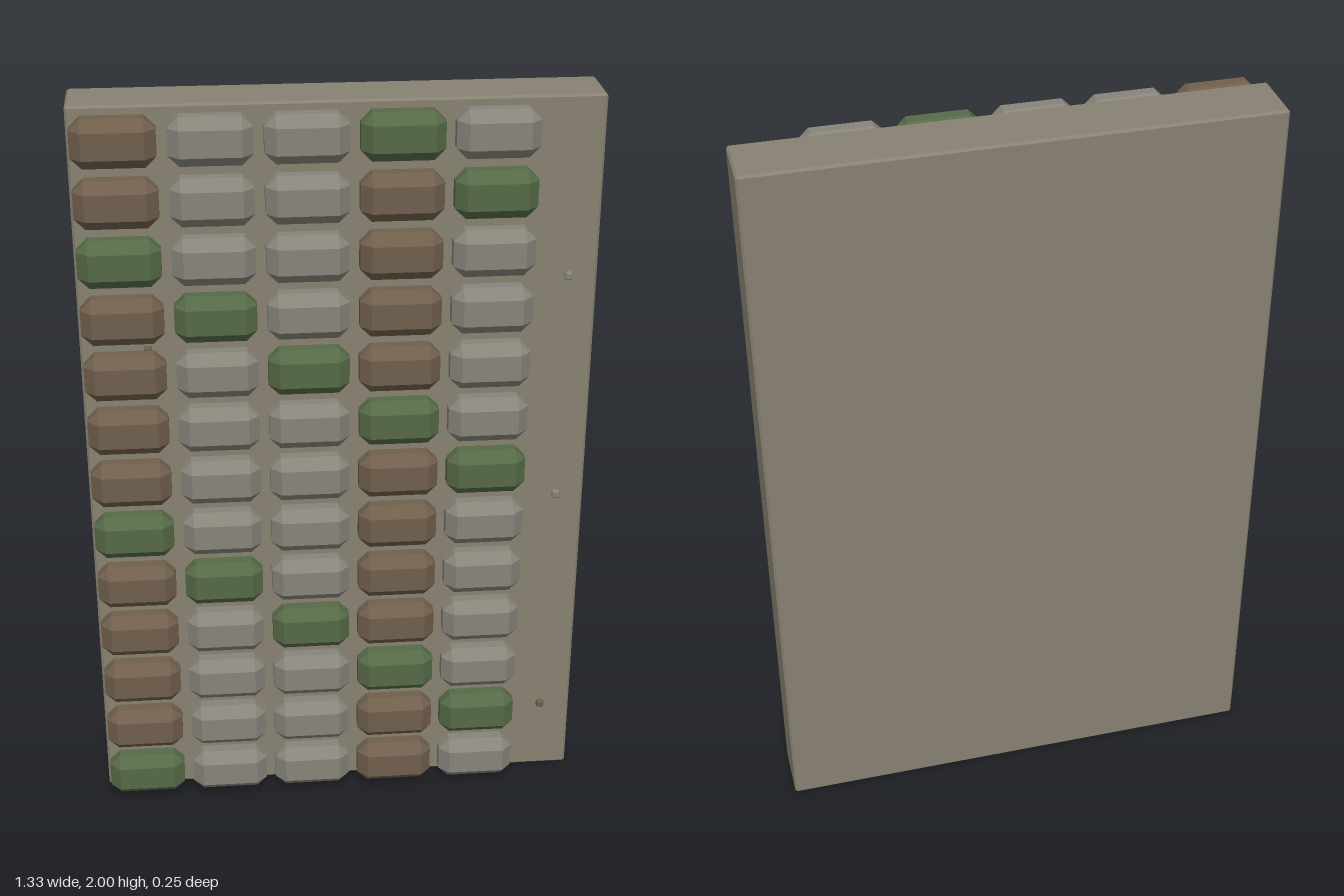
import * as THREE from 'three';
import { ConvexGeometry } from 'three/addons/geometries/ConvexGeometry.js';

const flat = (name, color) => {
  const m = new THREE.MeshStandardMaterial({ color, flatShading: true });
  m.name = name;
  return m;
};

// Box with every edge and corner cut off by c
function chamferedBox(w, h, d, c) {
  const [x, y, z] = [w / 2, h / 2, d / 2];
  const points = [];
  for (const sx of [-1, 1]) for (const sy of [-1, 1]) for (const sz of [-1, 1]) {
    points.push(
      new THREE.Vector3(sx * x, sy * (y - c), sz * (z - c)),
      new THREE.Vector3(sx * (x - c), sy * y, sz * (z - c)),
      new THREE.Vector3(sx * (x - c), sy * (y - c), sz * z)
    );
  }
  return new ConvexGeometry(points);
}

export function createModel() {
  const group = new THREE.Group();
  group.name = 'stoneWall';

  const slabStone = flat('slab stone', 0x878171);
  const greyStone = flat('grey stone', 0x87847a);
  const brownStone = flat('brown stone', 0x705f4c);
  const mossStone = flat('mossy stone', 0x566a47);

  const add = (name, geometry, material, x, y, z) => {
    const mesh = new THREE.Mesh(geometry, material);
    mesh.name = name;
    mesh.position.set(x, y, z);
    group.add(mesh);
  };

  // Backing slab
  add('slab', chamferedBox(1.326, 2, 0.16, 0.006), slabStone, 0, 1, -0.045);

  // Grid of cobbles, with moss running in diagonals
  const cobble = chamferedBox(0.208, 0.124, 0.085, 0.028);
  const rows = 13, columns = 5;
  for (let row = 0; row < rows; row++) {
    for (let col = 0; col < columns; col++) {
      const mossy = (row - col + columns) % 5 === 2;
      const brown = col === 0 || col === 3;
      const material = mossy ? mossStone : brown ? brownStone : greyStone;
      add('cobble', cobble, material, -0.549 + col * 0.2335, 1.925 - row * 0.1537, 0.0825);
    }
  }

  // Loose chips of stone
  const chip = chamferedBox(0.02, 0.02, 0.016, 0.003);
  const chips = [
    [0.585, 1.535, greyStone], [0.585, 0.905, greyStone], [0.575, 0.225, brownStone],
    [0.47, 0.165, brownStone], [-0.515, 0.63, brownStone], [-0.49, 1.367, brownStone],
    [0.25, 1.615, brownStone]
  ];
  for (const [x, y, material] of chips) add('chip', chip, material, x, y, 0.055);

  return group;
}
